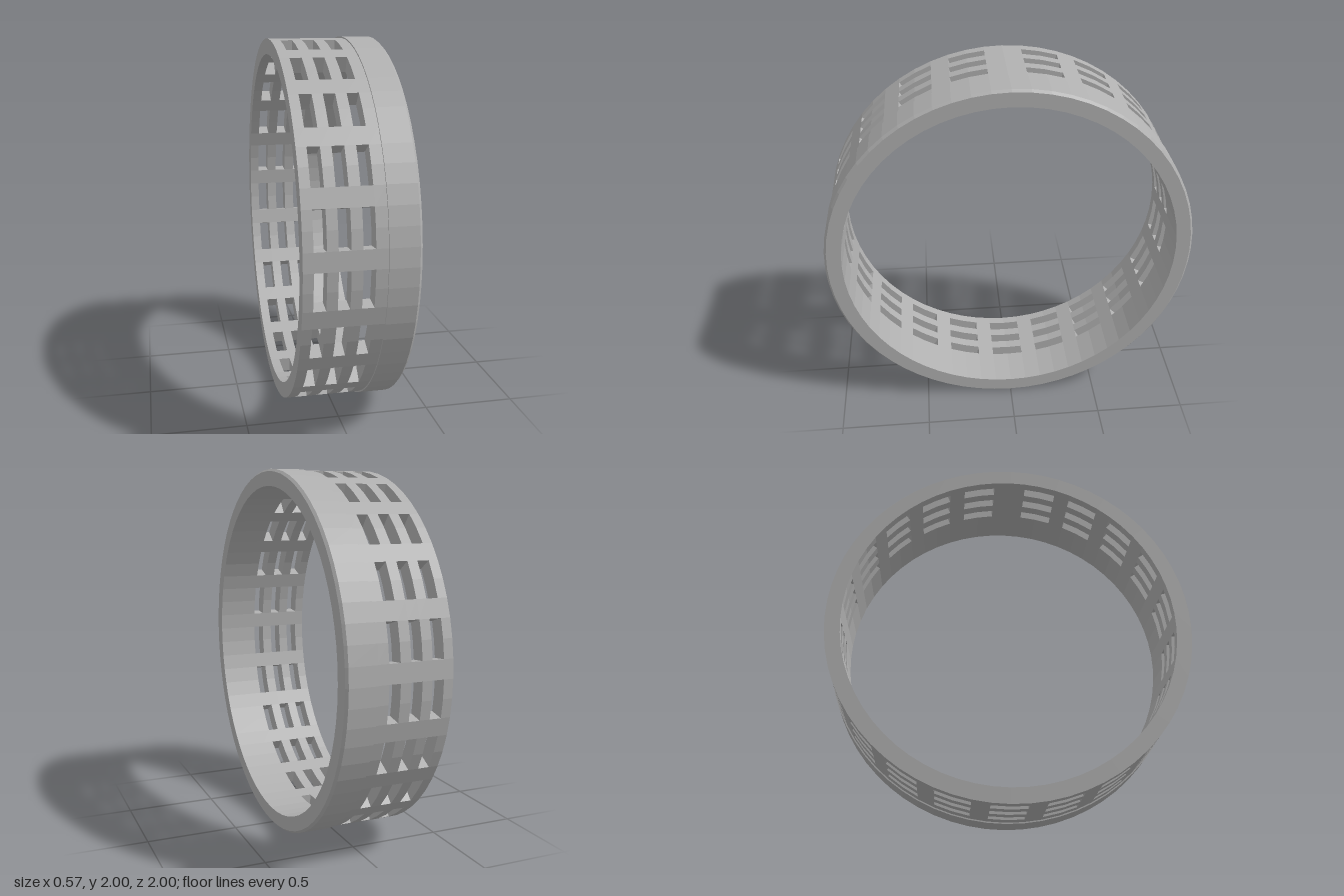
import * as THREE from 'three';

const SEGMENTS = 64;
const INNER = 0.91;
const OUTER = 0.993;
// Band stations along the axis: every odd column carries a row of slots
const STATIONS = [-0.283, -0.232, -0.17, -0.116, -0.056, 0, 0.06, 0.12];

// Slots are two segments wide with one-segment bars; a double bar sits at the top
function isOpen(column, segment) {
  if (column < 0) return true;
  const k = (segment - 17 + 2 * SEGMENTS) % SEGMENTS;
  return column % 2 === 1 && column < STATIONS.length - 1 && k < 62 && k % 3 < 2;
}

// Hollow band with slots cut radially through its wall
function perforatedBand() {
  const positions = [];
  const point = (x, i, r) => {
    const a = (i / SEGMENTS) * Math.PI * 2;
    return [x, r * Math.sin(a), r * Math.cos(a)];
  };
  const quad = (a, b, c, d) => positions.push(...a, ...b, ...c, ...a, ...c, ...d);

  for (let c = 0; c < STATIONS.length - 1; c++) {
    const x0 = STATIONS[c], x1 = STATIONS[c + 1];
    for (let i = 0; i < SEGMENTS; i++) {
      if (isOpen(c, i)) continue;
      const j = i + 1;
      const [o00, o10, o11, o01] = [[x0, i], [x1, i], [x1, j], [x0, j]].map(([x, s]) => point(x, s, OUTER));
      const [n00, n10, n11, n01] = [[x0, i], [x1, i], [x1, j], [x0, j]].map(([x, s]) => point(x, s, INNER));
      quad(o00, o10, o11, o01);
      quad(n01, n11, n10, n00);
      // Side walls wherever the neighbouring cell is empty
      if (isOpen(c, j)) quad(o01, o11, n11, n01);
      if (isOpen(c, i - 1)) quad(n00, n10, o10, o00);
      if (isOpen(c + 1, i)) quad(n10, n11, o11, o10);
      if (isOpen(c - 1, i)) quad(o00, o01, n01, n00);
    }
  }
  const geometry = new THREE.BufferGeometry();
  geometry.setAttribute('position', new THREE.Float32BufferAttribute(positions, 3));
  geometry.computeVertexNormals();
  return geometry;
}

// Slightly raised plain collar with a chamfered rim
function collarRing() {
  const profile = [
    [OUTER, 0.12], [1, 0.12], [1, 0.27], [0.988, 0.283], [INNER, 0.283], [INNER, 0.12],
  ].map(([r, y]) => new THREE.Vector2(r, y));
  const geometry = new THREE.LatheGeometry(profile, SEGMENTS).toNonIndexed();
  geometry.rotateZ(-Math.PI / 2);
  geometry.computeVertexNormals();
  return geometry;
}

export function createModel() {
  const grey = new THREE.MeshStandardMaterial({ color: 0xb0b0b0, flatShading: true });
  grey.name = 'plain grey';

  const model = new THREE.Group();
  model.name = 'slottedRing';
  const parts = { perforatedBand: perforatedBand(), collar: collarRing() };
  for (const [name, geometry] of Object.entries(parts)) {
    const mesh = new THREE.Mesh(geometry, grey);
    mesh.name = name;
    mesh.position.y = 1;
    model.add(mesh);
  }
  return model;
}
